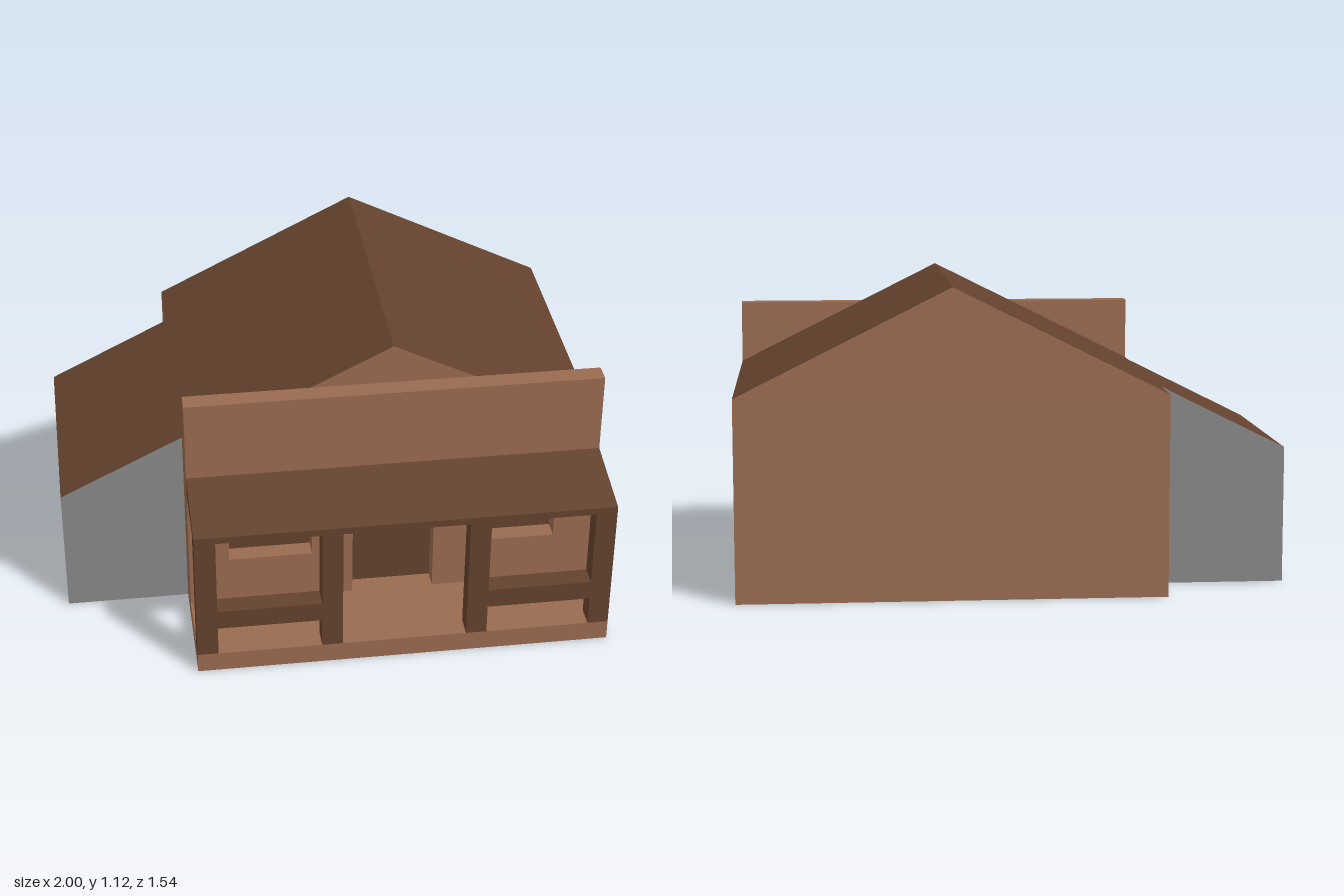
import * as THREE from 'three';

const L = -0.54, R = 1, BACK = -0.77, FRONT = 0.77;
const WALL_Z = 0.39, FACADE_Z = 0.463, EAVE = 0.73, DECK = 0.077, CEIL = 0.577;

export function createModel() {
  const model = new THREE.Group();
  model.name = 'house';
  const mat = (name, color, side = THREE.FrontSide) => {
    const m = new THREE.MeshStandardMaterial({ color, side });
    m.name = name;
    return m;
  };
  const tan = mat('tanWood', 0x9a6b50);
  const brown = mat('darkBrownWood', 0x63422d, THREE.DoubleSide);
  const grey = mat('grey', 0x888888, THREE.DoubleSide);

  const add = (name, geometry, material) => {
    const mesh = new THREE.Mesh(geometry, material);
    mesh.name = name;
    model.add(mesh);
    return mesh;
  };
  // Box given by its limits on each axis
  const box = (name, material, x0, x1, y0, y1, z0, z1) => {
    const g = new THREE.BoxGeometry(x1 - x0, y1 - y0, z1 - z0);
    g.translate((x0 + x1) / 2, (y0 + y1) / 2, (z0 + z1) / 2);
    return add(name, g, material);
  };
  // Flat convex polygon, corners counter-clockwise from its front
  const face = (name, material, pts) => {
    const pos = [];
    for (let i = 1; i < pts.length - 1; i++) pos.push(...pts[0], ...pts[i], ...pts[i + 1]);
    const g = new THREE.BufferGeometry();
    g.setAttribute('position', new THREE.Float32BufferAttribute(pos, 3));
    g.computeVertexNormals();
    return add(name, g, material);
  };
  // Prism along z from a counter-clockwise xy profile; each edge has [name, material] or null
  const prism = (name, material, profile, z0, z1, edges) => {
    face(name + 'Front', material, profile.map(([x, y]) => [x, y, z1]));
    face(name + 'Back', material, profile.map(([x, y]) => [x, y, z0]).reverse());
    profile.forEach(([x, y], i) => {
      if (!edges[i]) return;
      const [u, v] = profile[(i + 1) % profile.length];
      face(edges[i][0], edges[i][1], [[x, y, z1], [x, y, z0], [u, v, z0], [u, v, z1]]);
    });
  };

  // Main gabled body
  prism('gableWall', tan, [[L, 0], [R, 0], [R, EAVE], [0.23, 1.115], [L, EAVE]], BACK, WALL_Z, [
    ['floorUnderside', grey], ['leftWall', tan], ['leftRoof', brown],
    ['rightRoof', brown], ['rightWall', tan],
  ]);

  // Lean-to on the right side, open underneath
  prism('leanToWall', grey, [[-1, 0], [L, 0], [L, EAVE], [-1, 0.5]], -0.54, 0.305, [
    null, null, ['leanToRoof', brown], ['leanToSideWall', grey],
  ]);

  // Porch deck and base of the facade, with grey underside
  box('porchDeck', [tan, tan, tan, grey, tan, tan], L, R, 0, DECK, WALL_Z, FRONT);

  // False-front facade with a doorway notch and two window openings
  const facade = new THREE.Shape([
    [L, DECK], [0.077, DECK], [0.077, CEIL], [0.385, CEIL], [0.385, DECK],
    [R, DECK], [R, 0.963], [L, 0.963],
  ].map(([x, y]) => new THREE.Vector2(x, y)));
  const windows = [[-0.39, -0.077], [0.54, 0.847]];
  for (const [a, b] of windows) {
    facade.holes.push(new THREE.Path([
      [a, 0.27], [a, CEIL], [b, CEIL], [b, 0.27],
    ].map(([x, y]) => new THREE.Vector2(x, y))));
  }
  const facadeGeo = new THREE.ExtrudeGeometry(facade, { depth: FACADE_Z - WALL_Z, bevelEnabled: false });
  facadeGeo.translate(0, 0, WALL_Z);
  add('facade', facadeGeo, tan);

  // Recessed door and window panels
  box('door', brown, 0.077, 0.385, DECK, CEIL, WALL_Z, WALL_Z + 0.004);
  for (const [a, b] of windows) box('windowPanel', brown, a, b, 0.27, CEIL, WALL_Z, WALL_Z + 0.004);

  // Porch posts and rails
  const postZ = FRONT - 0.077;
  for (const x of [L, -0.079, 0.461, 0.923]) box('porchPost', brown, x, x + 0.077, DECK, CEIL, postZ, FRONT);
  for (const [a, b] of [[L + 0.077, -0.079], [0.538, 0.923]]) {
    box('porchRail', brown, a, b, 0.193, 0.27, postZ, FRONT);
  }

  // Sloping porch roof
  const slope = new THREE.Shape([
    [FACADE_Z, CEIL], [FRONT, CEIL], [FRONT, 0.604], [FACADE_Z, 0.655],
  ].map(([z, y]) => new THREE.Vector2(z, y)));
  const porchRoof = new THREE.ExtrudeGeometry(slope, { depth: R - L, bevelEnabled: false });
  porchRoof.rotateY(-Math.PI / 2).translate(R, 0, 0);
  add('porchRoof', porchRoof, brown);

  return model;
}
